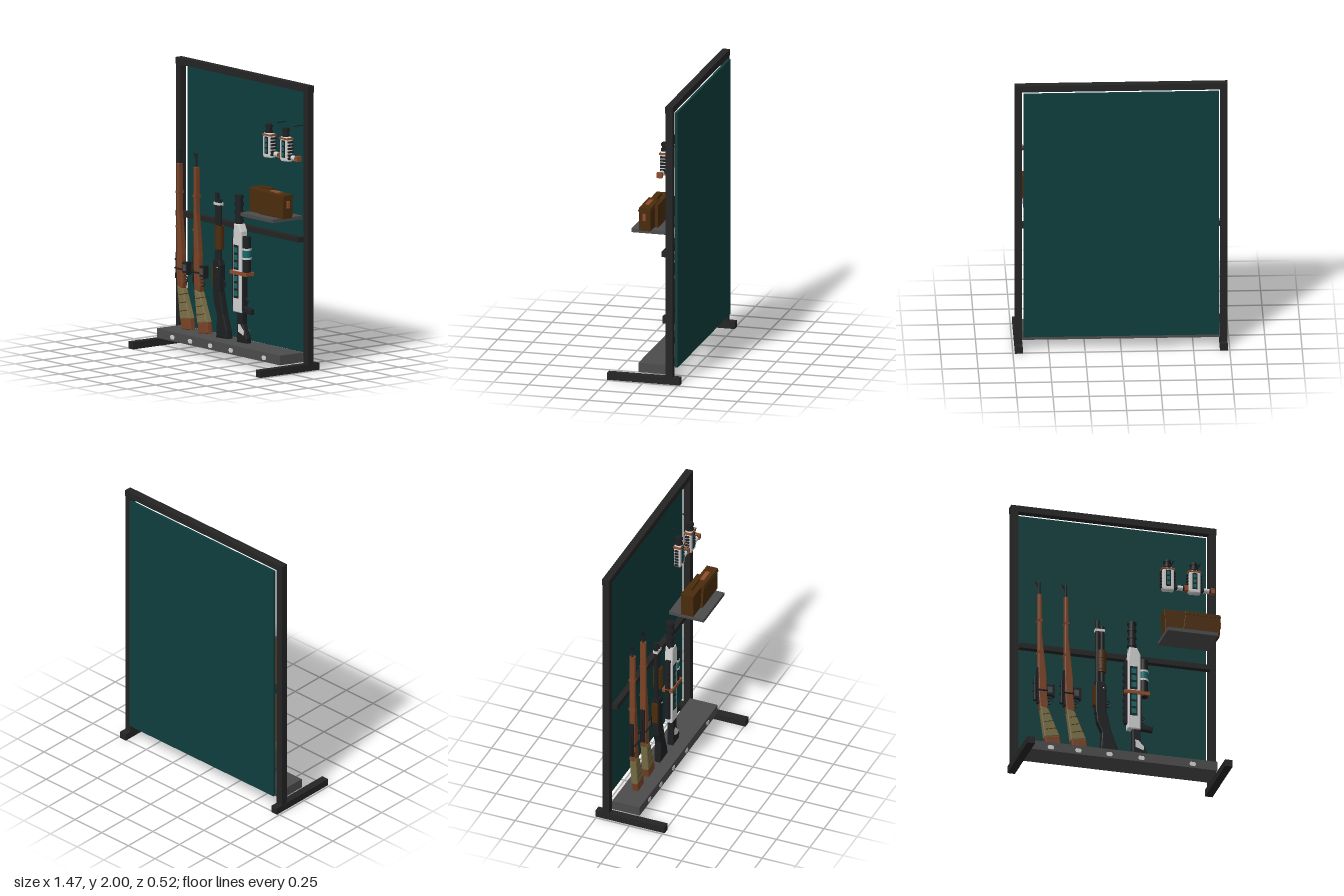
import * as THREE from 'three';

const mat = (name, color, side = THREE.FrontSide) => {
  const m = new THREE.MeshStandardMaterial({ color, side });
  m.name = name;
  return m;
};

export function createModel() {
  const root = new THREE.Group();
  root.name = 'displayRack';
  const M = {
    frame: mat('frameBlack', 0x242424), panel: mat('panelTeal', 0x0f3d3d),
    grey: mat('trayGrey', 0x4c4c4c), wood: mat('wood', 0x7a4326),
    tan: mat('wrapTan', 0x7a7048), white: mat('paleMetal', 0xcfd0cf),
    brown: mat('caseBrown', 0x4b2c0c), copper: mat('copper', 0x8f4d2b),
    metal: mat('gunmetal', 0x1d1f21), glass: mat('tealGlass', 0x17686a),
  };

  const add = (g, name, geo, m) => {
    const mesh = new THREE.Mesh(geo, m);
    mesh.name = name;
    g.add(mesh);
    return mesh;
  };
  // box from its minimum and maximum corners
  const box = (g, name, m, x0, x1, y0, y1, z0, z1) => {
    const b = add(g, name, new THREE.BoxGeometry(x1 - x0, y1 - y0, z1 - z0), m);
    b.position.set((x0 + x1) / 2, (y0 + y1) / 2, (z0 + z1) / 2);
    return b;
  };
  // upright cylinder
  const cyl = (g, name, m, x, y0, y1, z, rBottom, rTop = rBottom) => {
    const c = add(g, name, new THREE.CylinderGeometry(rTop, rBottom, y1 - y0, 14), m);
    c.position.set(x, (y0 + y1) / 2, z);
    return c;
  };
  // cylinder lying along x
  const rod = (g, name, m, x0, x1, y, z, r) => {
    const c = add(g, name, new THREE.CylinderGeometry(r, r, x1 - x0, 14).rotateZ(Math.PI / 2), m);
    c.position.set((x0 + x1) / 2, y, z);
    return c;
  };
  // bevelled side profile, extruded evenly about z
  const slab = (g, name, m, pts, thick, z = 0, bevel = 0.008) => {
    const geo = new THREE.ExtrudeGeometry(new THREE.Shape(pts.map(p => new THREE.Vector2(...p))), {
      depth: thick - 2 * bevel, bevelEnabled: bevel > 0, bevelSize: bevel,
      bevelOffset: -bevel, bevelThickness: bevel, bevelSegments: 2,
    });
    geo.translate(0, 0, z - thick / 2 + bevel);
    return add(g, name, geo, m);
  };
  const group = (name, x = 0, y = 0, z = 0) => {
    const g = new THREE.Group();
    g.name = name;
    g.position.set(x, y, z);
    root.add(g);
    return g;
  };
  const guard = (g, x, y, r = 0.024) => {
    add(g, 'triggerGuard', new THREE.TorusGeometry(r, 0.004, 6, 18), M.metal).position.set(x, y, 0);
    box(g, 'trigger', M.metal, x - 0.015, x + 0.012, y - 0.003, y + 0.003, -0.003, 0.003);
  };

  // Stand
  const stand = group('stand');
  for (const s of [-1, 1]) {
    const x0 = s * 0.709 - 0.027, x1 = s * 0.709 + 0.027;
    box(stand, 'foot', M.frame, x0, x1, 0, 0.05, -0.26, 0.26);
    box(stand, 'post', M.frame, x0 + 0.002, x1 - 0.002, 0.05, 1.956, -0.208, -0.158);
  }
  box(stand, 'topBar', M.frame, -0.736, 0.736, 1.954, 2, -0.21, -0.157);
  box(stand, 'middleBar', M.frame, -0.684, 0.684, 0.9, 0.938, -0.158, -0.115);
  box(stand, 'backPanel', M.panel, -0.676, 0.676, 0.11, 1.947, -0.23, -0.212);
  box(stand, 'tray', M.grey, -0.684, 0.684, 0.058, 0.125, -0.157, 0.05);
  box(stand, 'shelf', M.grey, 0.315, 0.676, 1.06, 1.085, -0.157, 0.103);
  for (const x of [-0.51, -0.313, -0.09, 0.14, 0.508]) {
    const pts = [[-0.024, 0], [-0.016, -0.015], [0.016, -0.015], [0.024, 0], [0.016, 0.015], [-0.016, 0.015]];
    slab(stand, 'label', M.white, pts, 0.006, 0.05, 0).position.set(x, 0.086, 0);
  }

  // Pair of wooden long pieces
  for (const x of [-0.51, -0.32]) {
    const g = group('woodenRifle', x, 0, -0.055);
    cyl(g, 'barrel', M.metal, -0.055, 0.62, 1.385, 0, 0.011, 0.008);
    slab(g, 'frontSight', M.metal, [[-0.085, 1.385], [-0.055, 1.33], [-0.048, 1.33], [-0.048, 1.37]], 0.008, 0, 0);
    slab(g, 'foreStock', M.wood, [[-0.066, 1.29], [-0.066, 0.72], [-0.062, 0.5], [-0.052, 0.41], [-0.004, 0.36],
      [0.006, 0.46], [-0.004, 0.55], [-0.004, 0.66], [-0.016, 0.78], [-0.036, 0.96], [-0.04, 1.29]], 0.044);
    slab(g, 'wrappedStock', M.tan, [[-0.054, 0.435], [-0.022, 0.2], [0.088, 0.22], [0.05, 0.31], [0.006, 0.42]], 0.05);
    slab(g, 'butt', M.wood, [[-0.022, 0.205], [-0.004, 0.13], [0.1, 0.14], [0.086, 0.225]], 0.046);
    for (let i = 0; i < 3; i++) {
      const band = box(g, 'wrapBand', M.brown, -0.034 + i * 0.009, 0.022 + i * 0.02, 0.375 - i * 0.055, 0.38 - i * 0.055, -0.026, 0.026);
      band.rotation.z = 0.25;
    }
    box(g, 'receiver', M.metal, -0.072, -0.046, 0.46, 0.73, -0.016, 0.016);
    cyl(g, 'scope', M.metal, -0.084, 0.5, 0.66, 0, 0.011, 0.009);
    cyl(g, 'eyepiece', M.metal, -0.084, 0.48, 0.515, 0, 0.014);
    for (const y of [0.55, 0.61]) rod(g, 'scopeMount', M.metal, -0.1, -0.05, y, 0, 0.007);
    rod(g, 'boltHandle', M.metal, -0.075, 0.0, 0.555, 0.025, 0.006);
    box(g, 'magazine', M.metal, -0.004, 0.04, 0.53, 0.605, -0.016, 0.016);
    box(g, 'magazineFace', M.grey, 0.0, 0.036, 0.545, 0.59, -0.018, 0.018);
    box(g, 'magazineEnd', M.metal, 0.04, 0.054, 0.52, 0.61, -0.019, 0.019);
    guard(g, 0.012, 0.485);
    for (const y of [0.84, 1.08]) box(g, 'stockBand', M.wood, -0.069, -0.035, y, y + 0.016, -0.024, 0.024);
  }

  // Black pump-action piece
  const p = group('pumpGun', 0, 0, -0.055);
  cyl(p, 'barrel', M.metal, -0.147, 0.66, 1.14, 0, 0.016);
  cyl(p, 'tube', M.metal, -0.114, 0.66, 1.1, 0, 0.016);
  box(p, 'clamp', M.white, -0.165, -0.097, 1.058, 1.076, -0.018, 0.018);
  cyl(p, 'pumpGrip', M.brown, -0.118, 0.75, 0.915, 0, 0.032);
  for (let i = 0; i < 5; i++) cyl(p, 'gripRib', M.brown, -0.118, 0.77 + i * 0.028, 0.78 + i * 0.028, 0, 0.035);
  slab(p, 'receiver', M.metal, [[-0.165, 0.675], [-0.165, 0.43], [-0.088, 0.43], [-0.086, 0.64], [-0.1, 0.675]], 0.05);
  box(p, 'shellHolder', M.brown, -0.18, -0.162, 0.49, 0.645, -0.022, 0.022);
  slab(p, 'stock', M.metal, [[-0.163, 0.45], [-0.155, 0.37], [-0.12, 0.29], [-0.13, 0.13], [0, 0.135],
    [-0.01, 0.19], [-0.05, 0.3], [-0.085, 0.45]], 0.05);
  guard(p, -0.076, 0.515);
  cyl(p, 'screw', M.white, -0.11, 0.62, 0.628, 0.026, 0.005);

  // Pale heavy piece with side canister
  const h = group('paleRifle', 0, 0, -0.055);
  cyl(h, 'muzzle', M.metal, 0.1, 0.95, 1.16, 0, 0.026);
  for (const y of [0.975, 1.03, 1.09, 1.14]) cyl(h, 'muzzleRing', M.metal, 0.1, y, y + 0.016, 0, 0.033);
  slab(h, 'body', M.white, [[0.064, 0.34], [0.156, 0.34], [0.156, 0.91], [0.132, 0.96], [0.076, 0.96], [0.064, 0.84]], 0.06);
  for (const y of [0.44, 0.64]) {
    for (const s of [-1, 1]) {
      box(h, 'windowFrame', M.metal, 0.08, 0.132, y, y + 0.172, s * 0.031 - 0.003, s * 0.031 + 0.003);
      for (const d of [0.016, 0.068, 0.12])
        box(h, 'window', M.glass, 0.09, 0.122, y + d, y + d + 0.036, s * 0.034 - 0.002, s * 0.034 + 0.002);
    }
  }
  box(h, 'sideRail', M.metal, 0.044, 0.066, 0.38, 0.86, -0.018, 0.018);
  for (let i = 0; i < 9; i++) box(h, 'railTooth', M.metal, 0.038, 0.05, 0.4 + i * 0.05, 0.425 + i * 0.05, -0.014, 0.014);
  cyl(h, 'canister', M.metal, 0.184, 0.6, 0.88, 0, 0.03);
  cyl(h, 'canisterGlass', M.glass, 0.184, 0.73, 0.785, 0, 0.0315);
  for (const y of [0.72, 0.785]) cyl(h, 'canisterBand', M.white, 0.184, y, y + 0.014, 0, 0.033);
  box(h, 'copperClamp', M.copper, 0.04, 0.22, 0.605, 0.63, -0.037, 0.037);
  box(h, 'lowerRail', M.metal, 0.15, 0.17, 0.38, 0.6, -0.018, 0.018);
  guard(h, 0.172, 0.425);
  slab(h, 'grip', M.metal, [[0.145, 0.345], [0.246, 0.338], [0.248, 0.375], [0.15, 0.395]], 0.036);
  slab(h, 'stock', M.metal, [[0.098, 0.345], [0.098, 0.13], [0.208, 0.132], [0.21, 0.17], [0.16, 0.26], [0.16, 0.345]], 0.046);
  slab(h, 'stockInlay', M.white, [[0.118, 0.26], [0.12, 0.205], [0.178, 0.185], [0.182, 0.215], [0.14, 0.258]], 0.05, 0, 0);

  // Pair of small pale pieces hung on pegs
  for (const x of [0.37, 0.56]) {
    const g = group('palePistol', x, 0, -0.105);
    slab(g, 'body', M.white, [[-0.042, 1.47], [-0.03, 1.455], [0.042, 1.46], [0.042, 1.61], [0.03, 1.63], [-0.03, 1.63], [-0.042, 1.6]], 0.05);
    for (const s of [-1, 1]) {
      box(g, 'windowFrame', M.metal, -0.018, 0.018, 1.485, 1.605, s * 0.026 - 0.003, s * 0.026 + 0.003);
      for (const y of [1.495, 1.532, 1.569])
        box(g, 'window', M.glass, -0.01, 0.01, y, y + 0.026, s * 0.029 - 0.002, s * 0.029 + 0.002);
    }
    cyl(g, 'muzzle', M.metal, -0.002, 1.625, 1.69, 0, 0.021);
    for (const y of [1.632, 1.67]) cyl(g, 'muzzleRing', M.metal, -0.002, y, y + 0.013, 0, 0.028);
    box(g, 'copperBand', M.copper, -0.045, 0.046, 1.612, 1.624, -0.028, 0.028);
    for (let i = 0; i < 6; i++) {
      box(g, 'fin', M.metal, -0.052, -0.04, 1.475 + i * 0.023, 1.487 + i * 0.023, -0.014, 0.014);
      box(g, 'fin', M.metal, 0.04, 0.056, 1.475 + i * 0.023, 1.487 + i * 0.023, -0.02, 0.02);
    }
    rod(g, 'handle', M.metal, 0.04, 0.125, 1.49, 0, 0.016);
    rod(g, 'handleSleeve', M.white, 0.068, 0.108, 1.49, 0, 0.018);
    box(g, 'handleEnd', M.copper, 0.118, 0.145, 1.473, 1.51, -0.02, 0.02);
    box(g, 'peg', M.metal, 0.05, 0.056, 1.702, 1.708, -0.11, -0.025);
  }

  // Brown ammunition case on the shelf
  const c = group('case');
  slab(c, 'caseEnd', M.brown, [[0.316, 1.085], [0.455, 1.085], [0.475, 1.25], [0.312, 1.255]], 0.095, -0.022, 0.004);
  slab(c, 'caseBody', M.brown, [[0.44, 1.085], [0.705, 1.085], [0.712, 1.25], [0.46, 1.255]], 0.085, -0.002, 0.004);
  box(c, 'caseBack', M.brown, 0.44, 0.6, 1.085, 1.245, -0.068, -0.04);
  box(c, 'lidRim', M.brown, 0.46, 0.712, 1.225, 1.235, -0.046, 0.044);
  box(c, 'carryHandle', M.brown, 0.38, 0.51, 1.255, 1.272, -0.036, -0.012);
  box(c, 'latch', M.copper, 0.53, 0.63, 1.25, 1.262, -0.015, 0.015);
  box(c, 'sideLatch', M.copper, 0.708, 0.72, 1.16, 1.21, -0.012, 0.012);
  return root;
}
